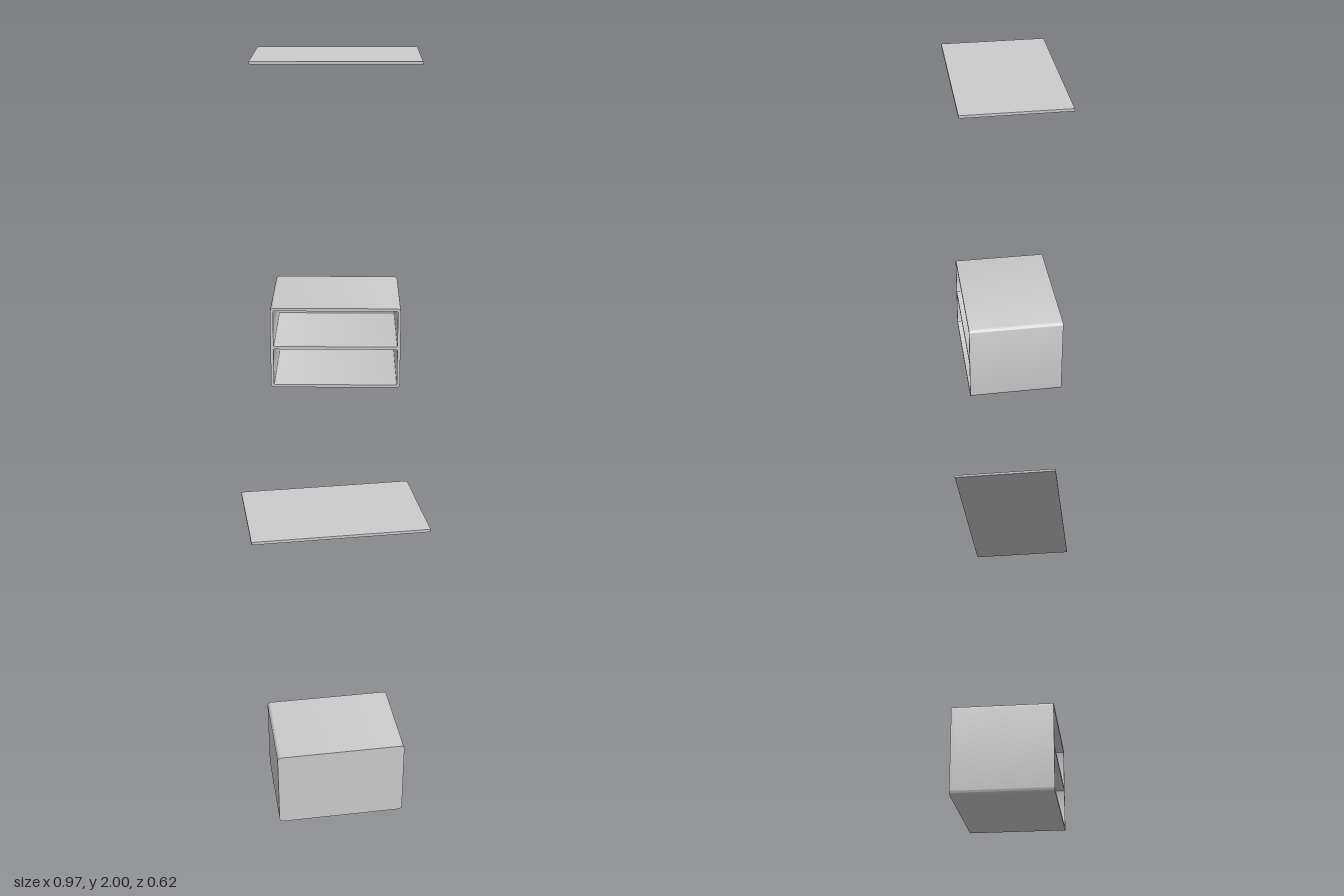
import * as THREE from 'three';
import { toCreasedNormals } from 'three/addons/utils/BufferGeometryUtils.js';

const material = new THREE.MeshStandardMaterial({ color: 0xcccccc });

// Trace a rounded rectangle onto a Shape or Path
function roundedRect(path, x0, y0, x1, y1, r) {
  path.moveTo(x0 + r, y0);
  path.lineTo(x1 - r, y0);
  path.absarc(x1 - r, y0 + r, r, -Math.PI / 2, 0);
  path.lineTo(x1, y1 - r);
  path.absarc(x1 - r, y1 - r, r, 0, Math.PI / 2);
  path.lineTo(x0 + r, y1);
  path.absarc(x0 + r, y1 - r, r, Math.PI / 2, Math.PI);
  path.lineTo(x0, y0 + r);
  path.absarc(x0 + r, y0 + r, r, Math.PI, Math.PI * 1.5);
  return path;
}

// Extrude a shape between two depths, smooth round the corners
function slab(name, shape, z0, z1) {
  const extruded = new THREE.ExtrudeGeometry(shape, {
    depth: z1 - z0, bevelEnabled: false, curveSegments: 8,
  });
  extruded.translate(0, 0, z0);
  const mesh = new THREE.Mesh(toCreasedNormals(extruded, 0.6), material);
  mesh.name = name;
  return mesh;
}

export function createModel() {
  const model = new THREE.Group();
  model.name = 'cabinetWithTop';

  const left = 0.389, right = -0.397, height = 0.515, radius = 0.024;
  const back = -0.309, front = 0.266, wall = 0.018;
  const outline = () => roundedRect(new THREE.Shape(), right, 0, left, height, radius);

  // Open-fronted shell: two compartments separated by a shelf
  const cabinet = new THREE.Group();
  cabinet.name = 'cabinet';
  const shell = outline();
  for (const [y0, y1] of [[wall, 0.25], [0.268, height - wall]]) {
    shell.holes.push(roundedRect(new THREE.Path(), right + wall, y0, left - wall, y1, 0.007));
  }
  cabinet.add(slab('shellAndShelf', shell, back + wall, front));

  // Closed back
  cabinet.add(slab('backPanel', outline(), back, back + wall));
  model.add(cabinet);

  // Thin board floating above
  const board = new THREE.Mesh(new THREE.BoxGeometry(0.972, 0.016, 0.617), material);
  board.name = 'topBoard';
  board.position.y = 2 - 0.008;
  model.add(board);

  return model;
}
